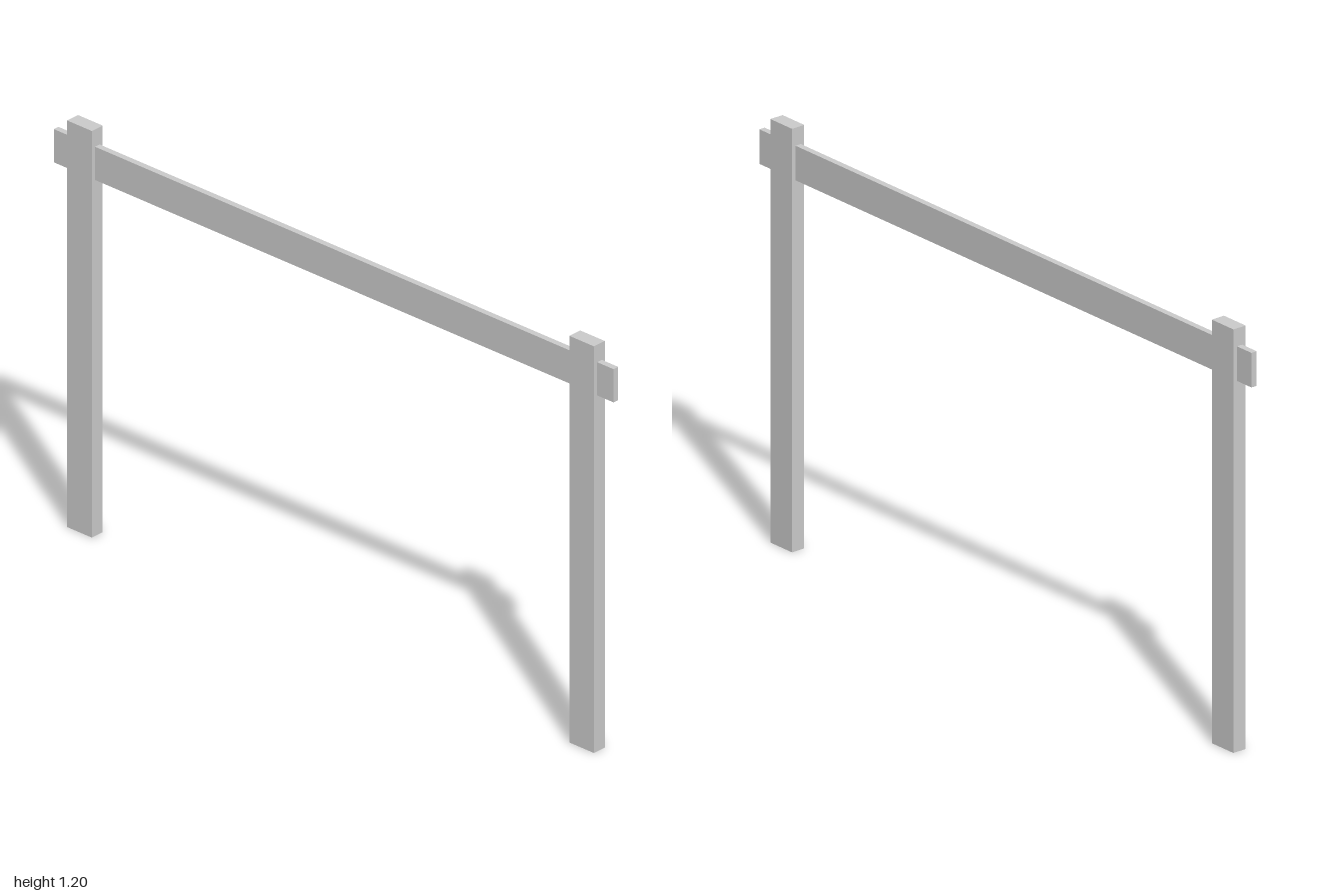
import * as THREE from 'three';

const POST = { width: 0.088, height: 1.2, depth: 0.042, x: 0.897 };
const BEAM = { length: 2, height: 0.098, depth: 0.018, y: 1.1 };

// Box without its underside, standing on y = 0
function openBottomBox(width, height, depth) {
  const geometry = new THREE.BoxGeometry(width, height, depth);
  const index = Array.from(geometry.index.array);
  index.splice(18, 6); // the six indices of the -y face
  geometry.setIndex(index);
  geometry.clearGroups();
  return geometry.translate(0, height / 2, 0);
}

export function createModel() {
  const group = new THREE.Group();
  group.name = 'postAndRailFrame';
  const material = new THREE.MeshStandardMaterial({ color: 0xcccccc, flatShading: true });
  const postMaterial = material.clone();
  postMaterial.side = THREE.DoubleSide;

  // Upright posts, open at the foot
  const postGeometry = openBottomBox(POST.width, POST.height, POST.depth);
  for (const [name, side] of [['leftPost', 1], ['rightPost', -1]]) {
    const post = new THREE.Mesh(postGeometry, postMaterial);
    post.name = name;
    post.position.x = side * POST.x;
    group.add(post);
  }

  // Rail running through both posts
  const rail = new THREE.Mesh(new THREE.BoxGeometry(BEAM.length, BEAM.height, BEAM.depth), material);
  rail.name = 'topRail';
  rail.position.y = BEAM.y;
  group.add(rail);

  return group;
}
